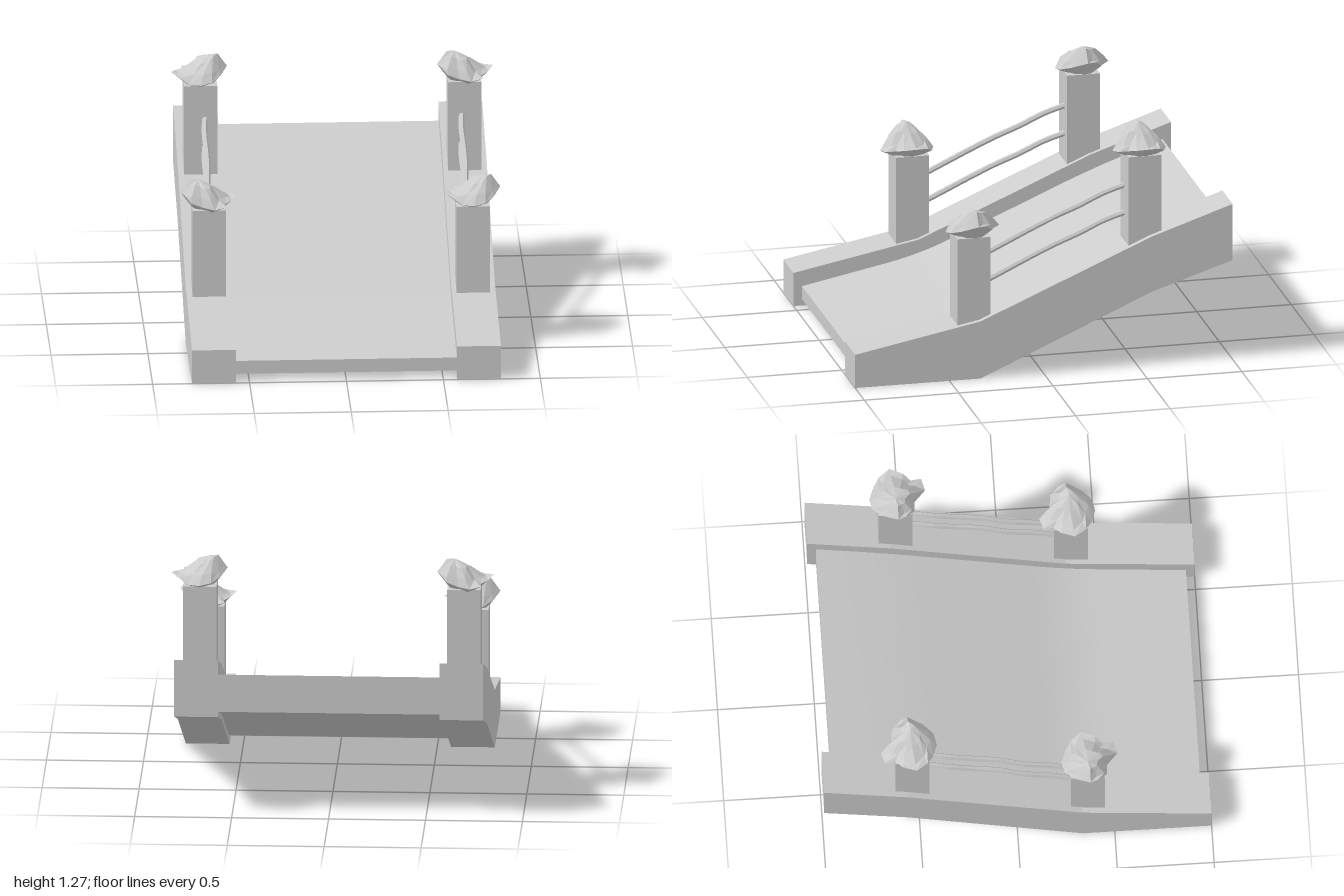
import * as THREE from 'three';
import { toCreasedNormals } from 'three/addons/utils/BufferGeometryUtils.js';

const smooth = new THREE.MeshStandardMaterial({ color: 0xcccccc });
const faceted = new THREE.MeshStandardMaterial({ color: 0xcccccc, flatShading: true });

function addMesh(parent, name, geometry, material, x = 0, y = 0, z = 0) {
  const mesh = new THREE.Mesh(geometry, material);
  mesh.name = name;
  mesh.position.set(x, y, z);
  parent.add(mesh);
  return mesh;
}

// Extrudes a side profile drawn in (z, y) across the given width in x
function extrudeAcross(shape, width) {
  const g = new THREE.ExtrudeGeometry(shape, { depth: width, bevelEnabled: false, curveSegments: 8 });
  return g.translate(0, 0, -width / 2).rotateY(-Math.PI / 2);
}

// Kinked curb beam that rises towards the back
function curbGeometry() {
  const pts = [[1, 0], [1, 0.18], [0.335, 0.31], [-0.57, 0.7], [-1, 0.845], [-1, 0.54], [-0.57, 0.4], [0.335, 0]];
  return extrudeAcross(new THREE.Shape(pts.map(p => new THREE.Vector2(...p))), 0.226);
}

// Roadway slab with gently rounded bends
function deckGeometry() {
  const s = new THREE.Shape();
  s.moveTo(0.955, 0.035);
  s.lineTo(0.955, 0.105);
  s.lineTo(0.5, 0.197);
  s.quadraticCurveTo(0.335, 0.23, 0.17, 0.301);
  s.lineTo(-0.4, 0.547);
  s.quadraticCurveTo(-0.57, 0.62, -0.74, 0.68);
  s.lineTo(-0.955, 0.755);
  s.lineTo(-0.955, 0.555);
  s.lineTo(-0.74, 0.485);
  s.quadraticCurveTo(-0.57, 0.43, -0.4, 0.356);
  s.lineTo(0.2, 0.094);
  s.quadraticCurveTo(0.335, 0.035, 0.47, 0.035);
  s.lineTo(0.955, 0.035);
  return toCreasedNormals(extrudeAcross(s, 1.144), 0.6);
}

// Craggy cap stone: an uneven outline stacked in shrinking, jittered rings
function rockGeometry() {
  const outline = [[-0.09, -0.13], [-0.03, -0.148], [0.03, -0.09], [0.09, -0.085], [0.125, -0.04], [0.142, 0],
    [0.105, 0.08], [0.06, 0.13], [0, 0.143], [-0.06, 0.12], [-0.105, 0.09], [-0.148, 0.03], [-0.12, -0.04], [-0.085, -0.075]];
  const rings = [[0.55, 0, 0], [1, 0.02, 0], [0.78, 0.07, 0.015], [0.42, 0.122, 0.03]]; // scale, height, x shift
  const n = outline.length, pos = [], idx = [];
  let seed = 7;
  const jitter = a => {
    seed = (seed * 16807) % 2147483647;
    return (seed / 2147483647 - 0.5) * a;
  };
  rings.forEach(([scale, y, shift], r) => {
    for (const [x, z] of outline) {
      const k = r === 1 ? 1 : scale * (1 + jitter(0.22));
      const lift = r === 0 ? -0.005 : r === 1 ? 2.4 * x * x + 0.1 * x : 0.12 * x;
      pos.push(x * k + shift, y + lift + jitter(r ? 0.02 : 0.008), z * k);
    }
  });
  const apex = rings.length * n, base = apex + 1;
  pos.push(0.05, 0.146, 0.01, 0, 0, 0);
  for (let i = 0; i < n; i++) {
    const j = (i + 1) % n;
    for (let r = 0; r < rings.length - 1; r++) {
      const a = r * n + i, b = r * n + j;
      idx.push(a, a + n, b, b, a + n, b + n);
    }
    const top = apex - n;
    idx.push(top + i, apex, top + j, base, i, j);
  }
  const g = new THREE.BufferGeometry();
  g.setAttribute('position', new THREE.Float32BufferAttribute(pos, 3));
  g.setIndex(idx);
  g.computeVertexNormals();
  return g;
}

// Slightly crooked rail running from the front post to the rear post
function railGeometry(side, yFront, yRear) {
  const pts = [];
  for (let i = 0; i <= 6; i++) {
    const t = i / 6;
    pts.push(new THREE.Vector3(
      side * (0.668 - 0.006 * t) + 0.004 * Math.sin(i * 2.3),
      yFront + (yRear - yFront) * t + 0.012 * Math.sin(Math.PI * t) + 0.003 * Math.sin(i * 2.9),
      0.295 - 0.77 * t));
  }
  return new THREE.TubeGeometry(new THREE.CatmullRomCurve3(pts), 18, 0.015, 6);
}

export function createModel() {
  const model = new THREE.Group();
  model.name = 'slopedBridge';
  addMesh(model, 'deck', deckGeometry(), smooth);

  const curb = curbGeometry();
  const rock = rockGeometry();
  const posts = [
    { label: 'front', z: 0.363, bottom: 0.285, top: 0.755 },
    { label: 'rear', z: -0.542, bottom: 0.64, top: 1.13 },
  ];
  for (const [side, sideName] of [[1, 'left'], [-1, 'right']]) {
    const railing = new THREE.Group();
    railing.name = sideName + 'Side';
    model.add(railing);
    addMesh(railing, 'curb', curb, faceted, side * 0.684);

    for (const { label, z, bottom, top } of posts) {
      const h = top - bottom;
      addMesh(railing, label + 'Post', new THREE.BoxGeometry(0.172, h, 0.175), faceted, side * 0.681, bottom + h / 2, z);
      // Cap stones on opposite corners share an orientation
      const turned = (side > 0) === (label === 'rear');
      const cap = addMesh(railing, label + 'CapStone', rock, faceted, side * 0.683, top - 0.003, z + (turned ? 0.012 : -0.012));
      cap.rotation.y = turned ? Math.PI : 0;
    }
    addMesh(railing, 'upperRail', railGeometry(side, 0.628, 0.958), faceted);
    addMesh(railing, 'lowerRail', railGeometry(side, 0.478, 0.808), faceted);
  }
  return model;
}
